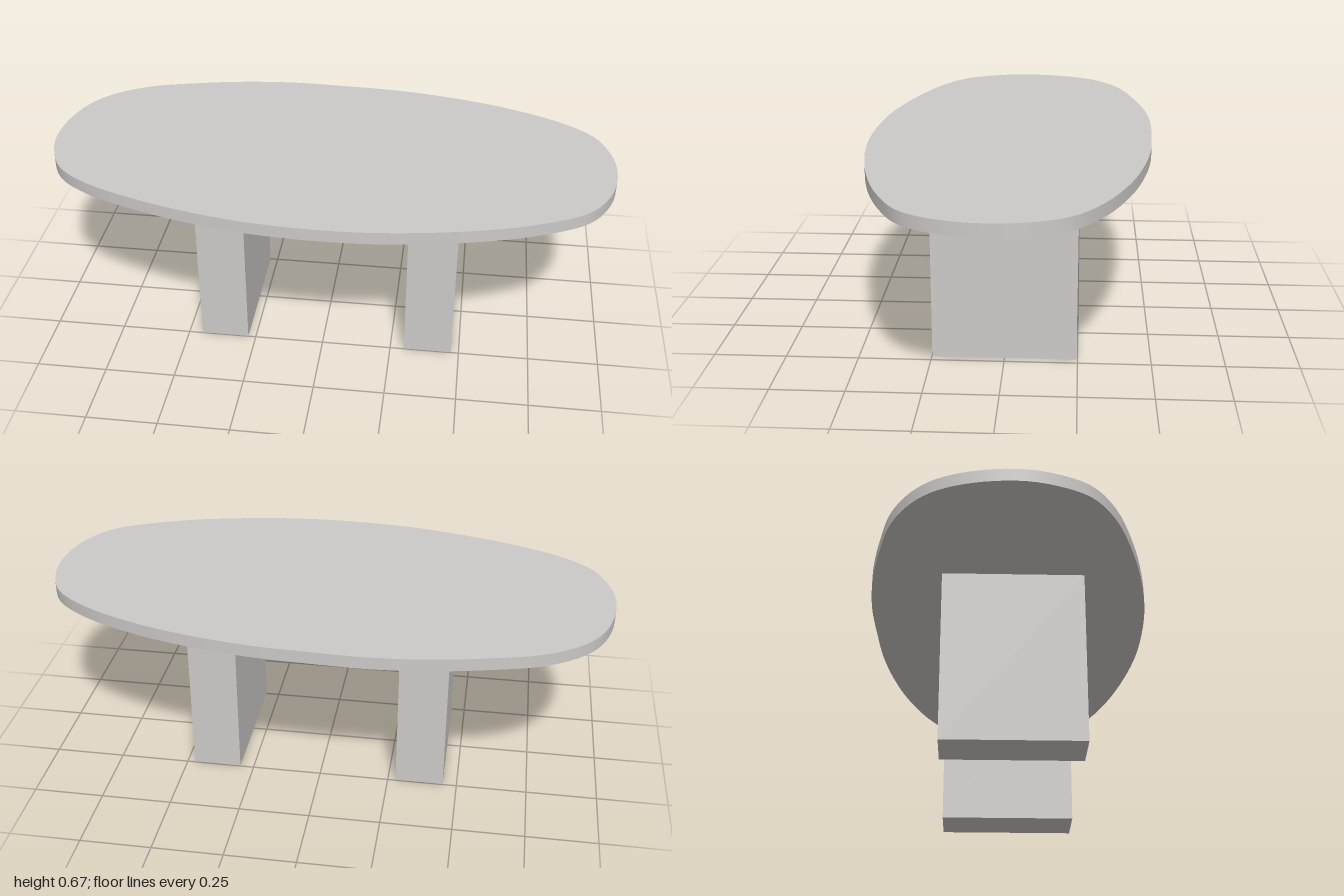
import * as THREE from 'three';
import { toCreasedNormals } from 'three/addons/utils/BufferGeometryUtils.js';

const LEG_HEIGHT = 0.627;
const TOP_THICKNESS = 0.044;

// Freeform oval outline of the tabletop as [x, z]
const OUTLINE = [
  [-0.2, -0.507], [0, -0.502], [0.2, -0.49], [0.4, -0.458], [0.6, -0.405], [0.8, -0.32],
  [0.93, -0.22], [0.985, -0.1], [1, 0.01], [0.985, 0.13], [0.94, 0.235], [0.88, 0.303],
  [0.75, 0.372], [0.6, 0.425], [0.4, 0.47], [0.2, 0.497], [0.03, 0.503], [-0.2, 0.49],
  [-0.4, 0.455], [-0.6, 0.4], [-0.8, 0.32], [-0.92, 0.23], [-0.98, 0.11], [-1, 0],
  [-0.985, -0.14], [-0.94, -0.255], [-0.87, -0.335], [-0.75, -0.407], [-0.6, -0.45], [-0.4, -0.49],
];

function tabletopGeometry() {
  const curve = new THREE.CatmullRomCurve3(
    OUTLINE.map(([x, z]) => new THREE.Vector3(x, -z, 0)), true, 'centripetal');
  const points = curve.getPoints(120).slice(0, -1).map((p) => new THREE.Vector2(p.x, p.y));
  const slab = new THREE.ExtrudeGeometry(new THREE.Shape(points), {
    depth: TOP_THICKNESS, bevelEnabled: false,
  });
  slab.rotateX(-Math.PI / 2);
  // Smooth around the rim, sharp at the top and bottom edges
  return toCreasedNormals(slab, Math.PI / 6);
}

export function createModel() {
  const table = new THREE.Group();
  table.name = 'table';
  const paleGrey = new THREE.MeshStandardMaterial({ color: 0xcccac8 });
  paleGrey.name = 'paleGrey';

  // Tabletop slab
  const tabletop = new THREE.Mesh(tabletopGeometry(), paleGrey);
  tabletop.name = 'tabletop';
  tabletop.position.y = LEG_HEIGHT;
  table.add(tabletop);

  // Two block legs
  const legGeometry = new THREE.BoxGeometry(0.172, LEG_HEIGHT, 0.495);
  for (const [name, x] of [['rightLeg', -0.364], ['leftLeg', 0.386]]) {
    const leg = new THREE.Mesh(legGeometry, paleGrey);
    leg.name = name;
    leg.position.set(x, LEG_HEIGHT / 2, 0.001);
    table.add(leg);
  }

  return table;
}
